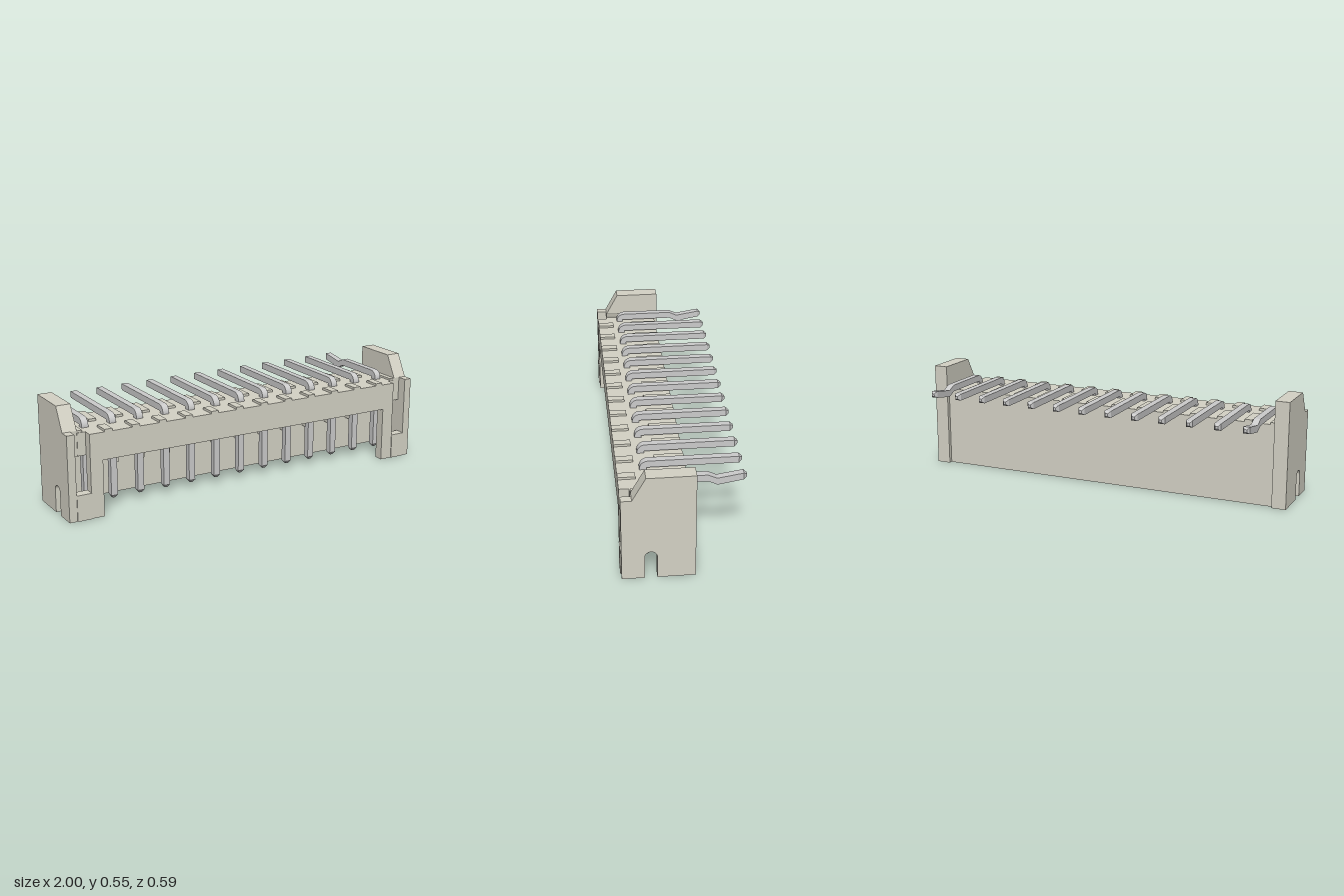
import * as THREE from 'three';

const housingMat = new THREE.MeshStandardMaterial({ color: 0xd4d2c5, flatShading: true });
const pinMat = new THREE.MeshStandardMaterial({ color: 0xcccccc, flatShading: true });
const PITCH = 0.1433, PINS = 13, PIN_W = 0.034;

function add(parent, name, geo, mat = housingMat) {
  const mesh = new THREE.Mesh(geo, mat);
  mesh.name = name;
  parent.add(mesh);
  return mesh;
}

// Box given by its minimum and maximum on each axis
function box(parent, name, x0, x1, y0, y1, z0, z1) {
  const geo = new THREE.BoxGeometry(x1 - x0, y1 - y0, z1 - z0);
  geo.translate((x0 + x1) / 2, (y0 + y1) / 2, (z0 + z1) / 2);
  return add(parent, name, geo);
}

// Extrude a (z, y) outline along x from x0 to x1
function sideExtrude(shape, x0, x1) {
  const geo = new THREE.ExtrudeGeometry(shape, { depth: x1 - x0, bevelEnabled: false, curveSegments: 8 });
  geo.rotateY(-Math.PI / 2);
  geo.translate(x1, 0, 0);
  return geo;
}

const outline = pts => new THREE.Shape(pts.map(p => new THREE.Vector2(...p)));

// Four-sided tapered tip, wide at the base and pointing up
function tipGeometry() {
  const r = PIN_W * Math.SQRT1_2;
  const geo = new THREE.CylinderGeometry(r * 0.4, r, 0.015, 4);
  geo.rotateY(Math.PI / 4);
  return geo;
}

// Right-angle pin; the end pins are kinked to hold the part in its board
function makePin(x, kinked) {
  const pin = new THREE.Group();
  pin.name = kinked ? 'kinkedPin' : 'pin';
  const s = new THREE.Shape();
  s.moveTo(0.153, 0.052);
  s.lineTo(0.186, 0.052);
  s.lineTo(0.186, 0.425);
  s.absarc(0.146, 0.425, 0.04, 0, Math.PI / 2, false);
  if (kinked) { s.lineTo(-0.115, 0.465); s.lineTo(-0.158, 0.445); }
  s.lineTo(-0.28, 0.465);
  s.lineTo(-0.28, 0.431);
  if (kinked) { s.lineTo(-0.16, 0.41); s.lineTo(-0.117, 0.431); }
  s.lineTo(0.153, 0.431);
  s.closePath();
  add(pin, 'pinBody', sideExtrude(s, -PIN_W / 2, PIN_W / 2), pinMat);
  const lower = add(pin, 'contactTip', tipGeometry(), pinMat);
  lower.rotation.x = Math.PI;
  lower.position.set(0, 0.0445, 0.1695);
  const back = add(pin, 'solderTip', tipGeometry(), pinMat);
  back.rotation.x = -Math.PI / 2;
  back.position.set(0, 0.448, -0.2875);
  pin.position.x = x;
  return pin;
}

// End wall with a sloped shoulder, keyhole notch and corner latch
function makeEnd(side) {
  const end = new THREE.Group();
  end.name = side > 0 ? 'leftEnd' : 'rightEnd';
  const span = (a, b) => (side > 0 ? [a, b] : [-b, -a]);

  // Thin outer wall
  const wall = new THREE.Shape();
  wall.moveTo(0.293, 0);
  wall.lineTo(0.293, 0.43);
  wall.lineTo(0.242, 0.43);
  wall.lineTo(0.178, 0.545);
  wall.lineTo(-0.05, 0.545);
  wall.lineTo(-0.05, 0);
  wall.lineTo(0.128, 0);
  wall.lineTo(0.128, 0.116);
  wall.absarc(0.157, 0.116, 0.029, Math.PI, 0, true);
  wall.lineTo(0.186, 0);
  wall.closePath();
  add(end, 'endWall', sideExtrude(wall, ...span(0.96, 1)));

  // Thick upper shoulder
  const shoulder = outline([[0.242, 0.305], [0.242, 0.43], [0.178, 0.545], [-0.05, 0.545], [-0.05, 0.305]]);
  add(end, 'shoulder', sideExtrude(shoulder, ...span(0.927, 0.96)));

  box(end, 'backPost', ...span(0.927, 0.96), 0, 0.305, -0.05, 0.015);
  box(end, 'cornerLatch', ...span(0.885, 0.96), 0, 0.13, 0.245, 0.297);
  box(end, 'topLip', ...span(0.90, 0.927), 0.42, 0.43, -0.03, 0.242);
  return end;
}

export function createModel() {
  const model = new THREE.Group();
  model.name = 'pinHeader';
  const housing = new THREE.Group();
  housing.name = 'housing';
  model.add(housing);

  // Shell: back wall, roof and a front wall with a wide opening
  box(housing, 'backWall', -0.927, 0.927, 0, 0.305, -0.03, 0.015);
  box(housing, 'roof', -0.927, 0.927, 0.305, 0.42, -0.03, 0.245);
  const front = outline([[-0.885, 0], [-0.82, 0], [-0.82, 0.283], [0.82, 0.283],
    [0.82, 0], [0.885, 0], [0.885, 0.42], [-0.885, 0.42]]);
  const frontGeo = new THREE.ExtrudeGeometry(front, { depth: 0.048, bevelEnabled: false });
  frontGeo.translate(0, 0, 0.245);
  add(housing, 'frontWall', frontGeo);

  // Ribs inside the cavity and raised ridges on the roof, between the pins
  for (let i = 0; i < PINS - 1; i++) {
    const x = (i - (PINS - 2) / 2) * PITCH;
    box(housing, 'innerRib', x - 0.012, x + 0.012, 0.17, 0.305, 0.015, 0.06);
    box(housing, 'rearRidge', x - 0.02, x + 0.02, 0.42, 0.432, -0.03, 0.11);
    box(housing, 'frontRidge', x - 0.02, x + 0.02, 0.42, 0.432, 0.21, 0.293);
  }

  housing.add(makeEnd(1), makeEnd(-1));

  for (let i = 0; i < PINS; i++) {
    model.add(makePin((i - (PINS - 1) / 2) * PITCH, i === 0 || i === PINS - 1));
  }
  return model;
}
